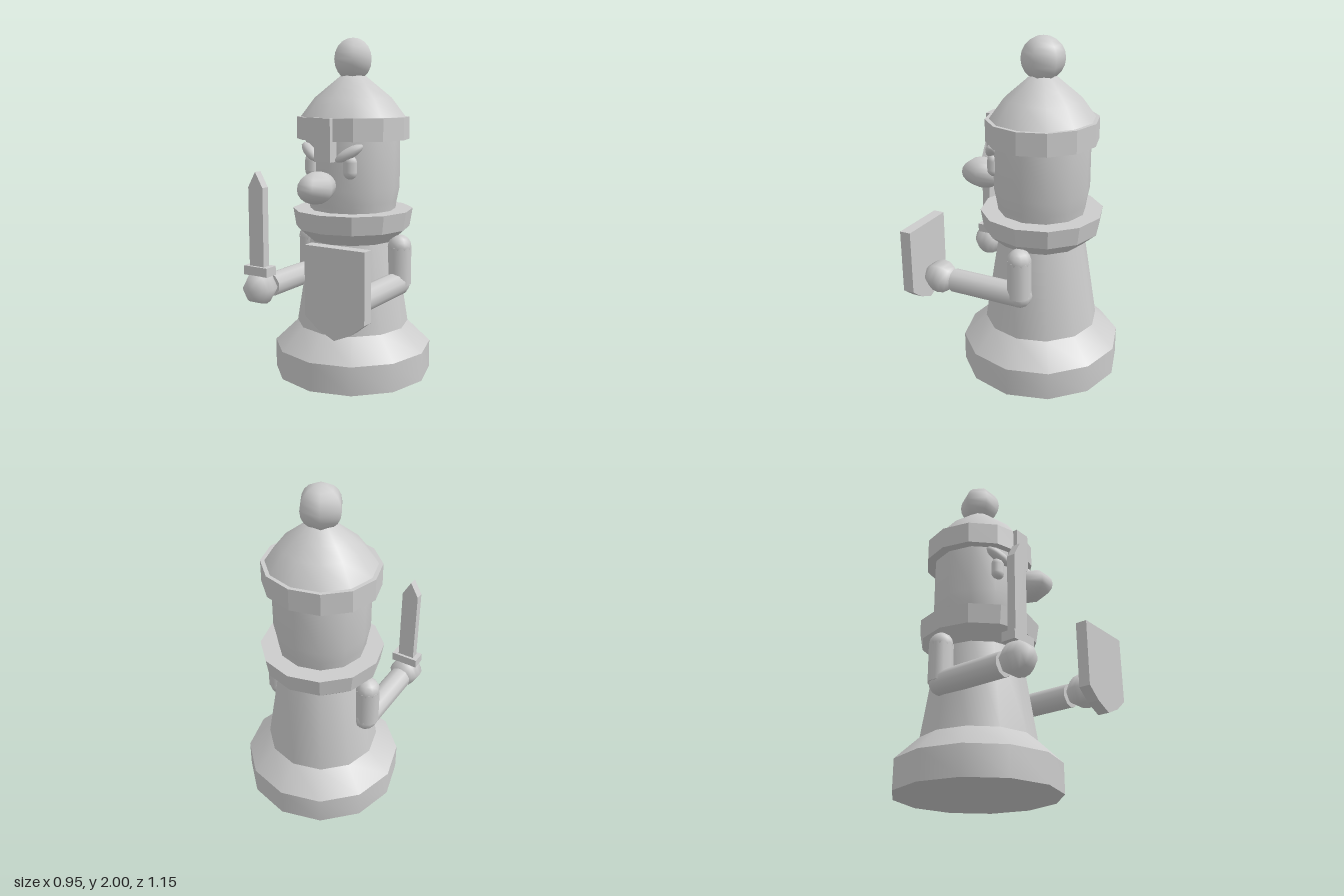
import * as THREE from 'three';
import { toCreasedNormals } from 'three/addons/utils/BufferGeometryUtils.js';

const grey = new THREE.MeshStandardMaterial({ color: 0xcccccc });

export function createModel() {
  const root = new THREE.Group();
  root.name = 'chessGuard';

  function add(name, geometry, x, y, z) {
    const mesh = new THREE.Mesh(geometry, grey);
    mesh.name = name;
    mesh.position.set(x, y, z);
    root.add(mesh);
    return mesh;
  }

  // Twelve-sided turned part around the body axis; profile runs bottom to top
  function turned(name, profile, crease) {
    const points = profile.map(([r, y]) => new THREE.Vector2(r, y));
    const geometry = toCreasedNormals(new THREE.LatheGeometry(points, 12), crease);
    return add(name, geometry, -0.005, 0, -0.1);
  }

  // Flat outline in x and y, given depth towards +z
  function plate(name, outline, depth, x, y, z) {
    const shape = new THREE.Shape(outline.map(([px, py]) => new THREE.Vector2(px, py)));
    return add(name, new THREE.ExtrudeGeometry(shape, { depth, bevelEnabled: false }), x, y, z);
  }

  const ball = (r, around, down) => new THREE.SphereGeometry(r, around, down);

  // Tower body, collar and head
  turned('body', [[0, 0], [0.475, 0], [0.475, 0.17], [0.338, 0.3], [0.25, 0.86]], 0.62);
  turned('collar', [[0.25, 0.81], [0.342, 0.89], [0.36, 1], [0, 1]], 0.3);
  turned('head', [[0.255, 0.99], [0.264, 1.05], [0.28, 1.13], [0.28, 1.44]], 0.62);

  // Helmet
  const rim = turned('helmetRim', [[0.27, 1.415], [0.338, 1.415], [0.338, 1.545], [0.3, 1.545]], 0.3);
  const dome = turned('helmetDome', [[0.318, 1.54], [0.23, 1.655], [0.15, 1.72], [0.07, 1.785], [0, 1.8]], 0.62);
  for (const part of [rim, dome]) {
    part.scale.z = 0.95;
  }
  add('helmetKnob', ball(0.125, 6, 10), -0.005, 1.875, -0.1);
  add('noseGuard', new THREE.BoxGeometry(0.105, 0.245, 0.075), -0.005, 1.4225, 0.1975);

  // Face
  add('nose', ball(0.1, 6, 10), -0.005, 1.162, 0.288).scale.set(1, 0.92, 1.4);
  for (const side of [-1, 1]) {
    const label = side > 0 ? 'left' : 'right';
    const x = -0.005 + side * 0.132;
    const eye = add(label + 'Eye', new THREE.CapsuleGeometry(0.04, 0.055, 4, 10), x, 1.27, 0.15);
    eye.scale.z = 0.85;
    eye.rotation.y = side * 0.4;

    const brow = add(label + 'Brow', ball(1, 10, 8), x, 1.35, 0.16);
    brow.scale.set(0.09, 0.032, 0.035);
    brow.rotation.set(0, side * 0.48, side * 0.52, 'YZX');
  }

  // Arms: upper arm, elbow, forearm and fist
  for (const side of [-1, 1]) {
    const label = side > 0 ? 'left' : 'right';
    const x = -0.005 + side * 0.308;
    const shoulderX = x + side * 0.008;
    add(label + 'Shoulder', ball(0.07, 10, 8), shoulderX, 0.795, -0.107);
    add(label + 'UpperArm', new THREE.CylinderGeometry(0.07, 0.07, 0.225, 10), shoulderX, 0.6825, -0.107);
    add(label + 'Elbow', ball(0.072, 10, 8), x, 0.572, -0.107);
    add(label + 'Forearm', new THREE.CylinderGeometry(0.07, 0.07, 0.437, 10), x, 0.572, 0.1115).rotation.x = Math.PI / 2;
    // Six-sided fist; vertices on its left and right
    const fist = add(label + 'Fist', ball(0.1, 6, 8), x, 0.578, 0.42);
    fist.rotation.x = Math.PI / 2;
  }

  // Sword in the right fist
  add('swordGuard', new THREE.BoxGeometry(0.164, 0.053, 0.085), -0.313, 0.681, 0.42);
  plate('swordBlade', [[-0.05, 0], [0.05, 0], [0.05, 0.46], [0, 0.548], [-0.05, 0.46]], 0.05, -0.315, 0.7, 0.395);

  // Shield in front of the left fist
  plate('shield', [[-0.181, 0.19], [-0.181, -0.19], [-0.1, -0.255], [0, -0.3],
    [0.1, -0.255], [0.181, -0.19], [0.181, 0.19]], 0.067, 0.291, 0.715, 0.51);

  return root;
}
